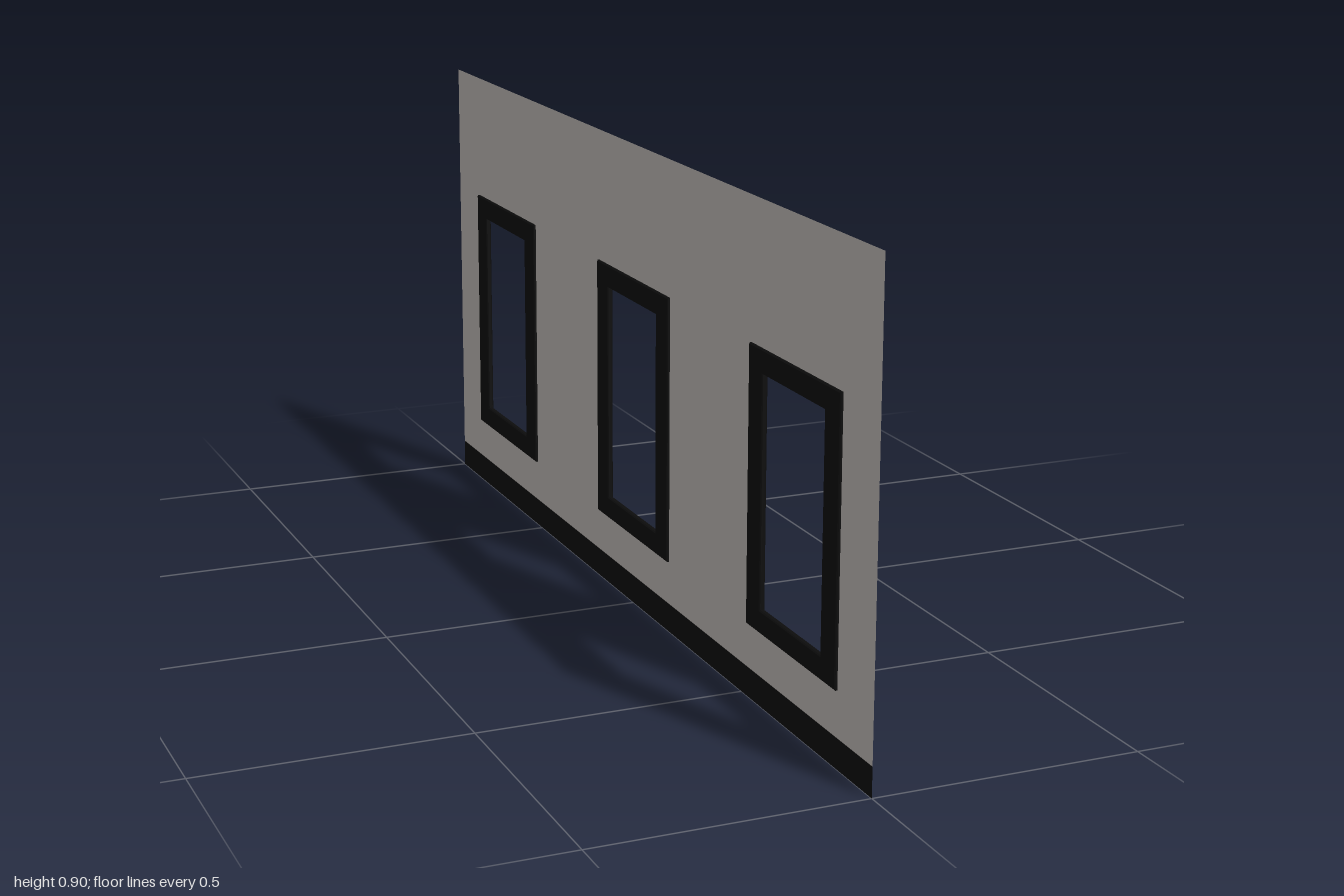
import * as THREE from 'three';

const WALL_TOP = 0.9, SKIRTING_TOP = 0.055;
const WINDOW_Z = [0.698, 0, -0.698];
const OUTER = { w: 0.346, y0: 0.138, y1: 0.645 };
const INNER = { w: 0.236, y0: 0.18, y1: 0.602 };

// Rectangle centred on z = c, drawn as (z, y)
function rect(Type, c, { w, y0, y1 }, inset = 0) {
  const a = c - w / 2 + inset, b = c + w / 2 - inset, lo = y0 + inset, hi = y1 - inset;
  return new Type([
    new THREE.Vector2(a, lo), new THREE.Vector2(b, lo),
    new THREE.Vector2(b, hi), new THREE.Vector2(a, hi),
  ]);
}

export function createModel() {
  const plaster = new THREE.MeshStandardMaterial({ color: 0xc4bfbb, side: THREE.DoubleSide });
  plaster.name = 'plaster';
  const black = new THREE.MeshStandardMaterial({ color: 0x0d0d0d, side: THREE.DoubleSide });
  black.name = 'black';

  const model = new THREE.Group();
  model.name = 'windowWall';
  const add = (name, geometry, material) => {
    geometry.rotateY(-Math.PI / 2); // shape x becomes z
    const mesh = new THREE.Mesh(geometry, material);
    mesh.name = name;
    model.add(mesh);
    return mesh;
  };

  // Thin wall sheet with three openings, hidden under the frames' edges
  const wall = rect(THREE.Shape, 0, { w: 2, y0: SKIRTING_TOP, y1: WALL_TOP });
  wall.holes = WINDOW_Z.map((z) => rect(THREE.Path, z, INNER, -0.015));
  add('wall', new THREE.ShapeGeometry(wall), plaster);

  // Dark strip along the foot of the wall
  const strip = rect(THREE.Shape, 0, { w: 2, y0: 0, y1: SKIRTING_TOP });
  add('skirting', new THREE.ShapeGeometry(strip), black);

  // Window frames, standing slightly proud on both faces
  const bevel = 0.002, depth = 0.007;
  WINDOW_Z.forEach((z, i) => {
    const frame = rect(THREE.Shape, z, OUTER, bevel);
    frame.holes = [rect(THREE.Path, z, INNER, -bevel)];
    const geometry = new THREE.ExtrudeGeometry(frame, {
      depth, bevelEnabled: true, bevelSize: bevel, bevelThickness: bevel, bevelSegments: 1,
    });
    geometry.translate(0, 0, -depth / 2);
    add(`windowFrame${i + 1}`, geometry, black);
  });

  return model;
}
